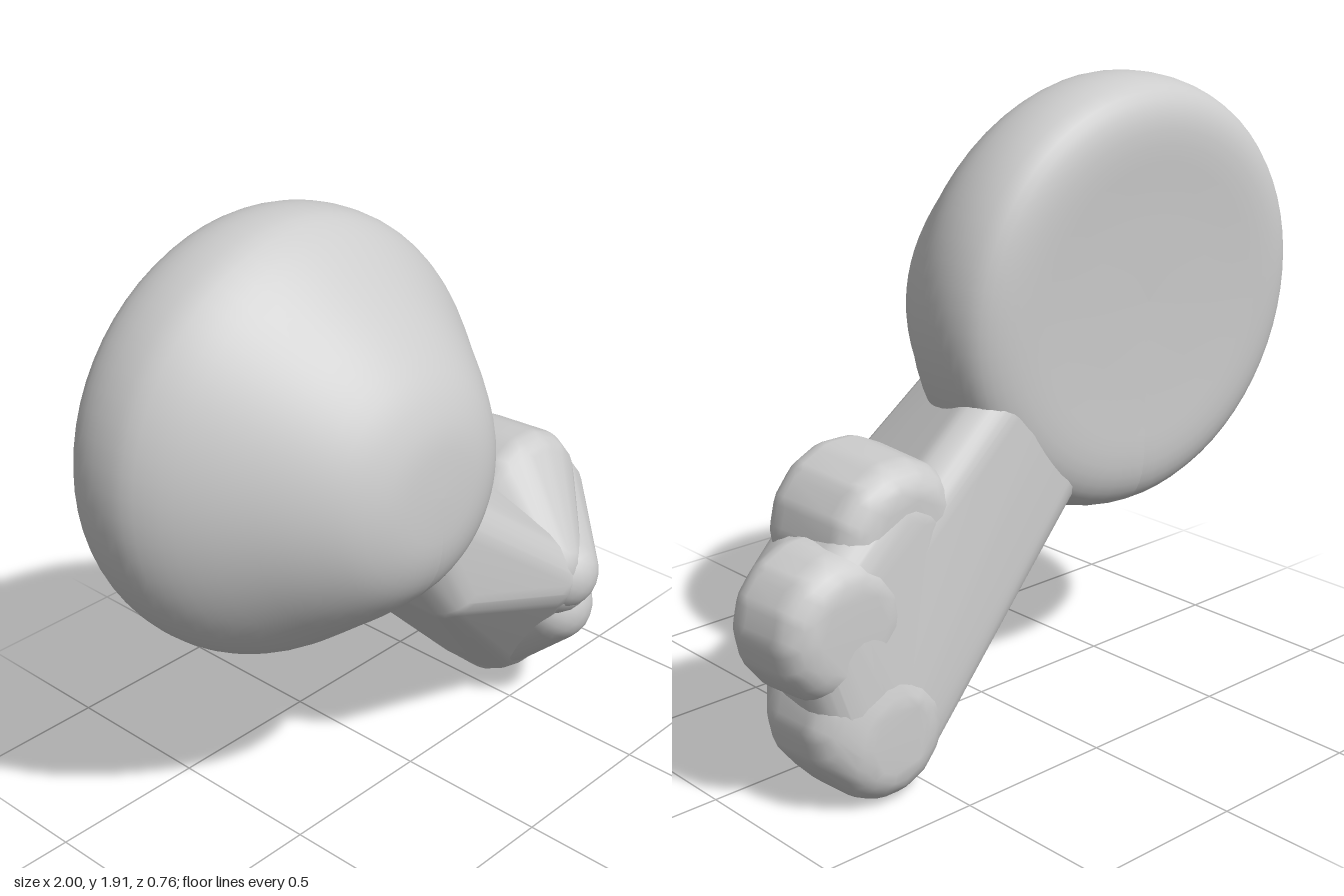
import * as THREE from 'three';
import { mergeVertices } from 'three/addons/utils/BufferGeometryUtils.js';
import { ConvexGeometry } from 'three/addons/geometries/ConvexGeometry.js';

const grey = new THREE.MeshStandardMaterial({ color: 0xcccccc });
grey.name = 'light grey';

// Smooth skin stretched over a few balls given as [x, y, z, radius]
function skin(name, balls) {
  const points = [];
  for (const [x, y, z, r] of balls) {
    const p = new THREE.IcosahedronGeometry(r, 3).attributes.position;
    for (let i = 0; i < p.count; i++) {
      points.push(new THREE.Vector3().fromBufferAttribute(p, i).add(new THREE.Vector3(x, y, z)));
    }
  }
  let geometry = new ConvexGeometry(points);
  geometry.deleteAttribute('normal');
  geometry = mergeVertices(geometry, 1e-4);
  geometry.computeVertexNormals();
  const mesh = new THREE.Mesh(geometry, grey);
  mesh.name = name;
  return mesh;
}

// Circle of balls facing +z: gives a round pad with soft edges of radius r
function ring(x, y, z, radius, r = 0.1) {
  return Array.from({ length: 14 }, (_, i) => {
    const a = (i / 14) * Math.PI * 2;
    return [x + Math.cos(a) * (radius - r), y + Math.sin(a) * (radius - r), z, r];
  });
}

// Round domed body: a turned profile facing +z, its flat back slightly tilted
function roundBody() {
  const profile = [
    [0, -0.34], [0.3, -0.345], [0.46, -0.352], [0.55, -0.342], [0.61, -0.31], [0.64, -0.26],
    [0.653, -0.19], [0.647, -0.11], [0.62, -0.04], [0.573, 0.03], [0.497, 0.12], [0.41, 0.22],
    [0.325, 0.3], [0.25, 0.345], [0.17, 0.37], [0.08, 0.378], [0, 0.38],
  ].map(([r, z]) => new THREE.Vector2(r, z));
  const curve = new THREE.SplineCurve(profile).getPoints(40);
  curve[0].x = curve[40].x = 0;
  const geometry = new THREE.LatheGeometry(curve, 64);
  geometry.rotateX(Math.PI / 2);
  const p = geometry.attributes.position;
  for (let i = 0; i < p.count; i++) {
    const x = p.getX(i), y = p.getY(i), z = p.getZ(i);
    const back = THREE.MathUtils.clamp((0.1 - z) / 0.45, 0, 1);
    const front = THREE.MathUtils.clamp((z + 0.1) / 0.45, 0, 1);
    // Tilt back and front, and slide the dome a little towards the leg
    p.setXYZ(i, x + 0.06 * front, y - 0.04 * front,
      z + back * (0.055 * x - 0.03 * y) - front * 0.05 * y);
  }
  geometry.computeVertexNormals();
  const mesh = new THREE.Mesh(geometry, grey);
  mesh.name = 'roundBody';
  mesh.position.set(-0.35, 1.26, 0);
  return mesh;
}

export function createModel() {
  const group = new THREE.Group();
  group.name = 'roundBodyWithPaw';
  group.add(roundBody());

  // Diagonal leg, growing out of the body and widening into the paw
  group.add(skin('leg', [
    [-0.2, 0.895, -0.19, 0.1], [-0.1, 1.19, -0.19, 0.1],
    [-0.12, 1.0, 0.09, 0.15], [0.02, 0.72, 0.13, 0.115], [0.08, 0.82, 0.13, 0.115],
    [0.45, 0.57, 0.14, 0.13], [0.46, 0.63, -0.22, 0.1],
    ...ring(0.63, 0.205, -0.27, 0.195), [0.62, 0.2, -0.17, 0.185], [0.7, 0.55, -0.24, 0.11],
  ]));

  // Webbing that fills the grooves between the toes
  group.add(skin('pawWeb', [
    ...ring(0.55, 0.73, -0.23, 0.17), ...ring(0.54, 0.72, -0.03, 0.17),
    ...ring(0.77, 0.55, -0.255, 0.175), ...ring(0.75, 0.55, -0.14, 0.18),
    ...ring(0.66, 0.24, -0.27, 0.18), ...ring(0.66, 0.26, -0.14, 0.18),
    [0.53, 0.53, 0.13, 0.14],
  ]));

  // Three plump flat-backed toes, each rising to the ridge of the paw
  group.add(skin('upperToe', [
    ...ring(0.55, 0.735, -0.225, 0.225), ...ring(0.55, 0.737, -0.03, 0.232),
    [0.47, 0.6, 0.135, 0.13],
  ]));
  group.add(skin('middleToe', [
    ...ring(0.775, 0.55, -0.26, 0.215), ...ring(0.78, 0.55, -0.15, 0.22),
    [0.53, 0.55, 0.165, 0.125],
  ]));
  group.add(skin('lowerToe', [
    ...ring(0.64, 0.205, -0.28, 0.2), ...ring(0.64, 0.205, -0.16, 0.205),
    ...ring(0.68, 0.27, -0.26, 0.215), ...ring(0.68, 0.27, -0.15, 0.22),
    [0.56, 0.4, 0.12, 0.13],
  ]));
  return group;
}
